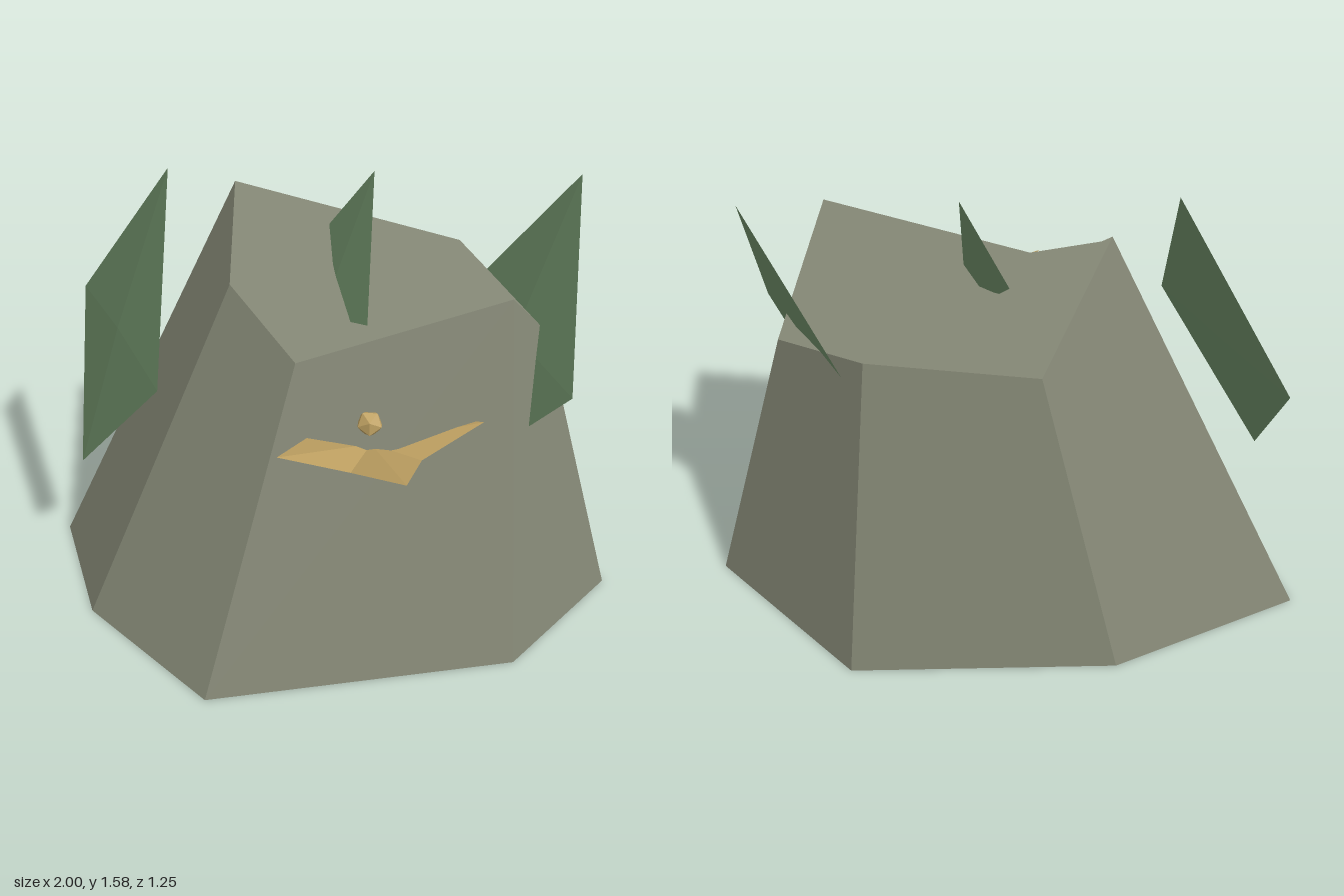
import * as THREE from 'three';

const V = (x, y, z) => new THREE.Vector3(x, y, z);

// Geometry from flat-shaded polygons; each polygon is fanned from its first corner and has one normal
function facets(polygons) {
  const position = [], normal = [];
  for (const p of polygons) {
    const n = V(0, 0, 0);
    for (let i = 1; i < p.length - 1; i++) {
      n.add(p[i].clone().sub(p[0]).cross(p[i + 1].clone().sub(p[0])));
    }
    n.normalize();
    for (let i = 1; i < p.length - 1; i++) {
      for (const v of [p[0], p[i], p[i + 1]]) {
        position.push(v.x, v.y, v.z);
        normal.push(n.x, n.y, n.z);
      }
    }
  }
  const g = new THREE.BufferGeometry();
  g.setAttribute('position', new THREE.Float32BufferAttribute(position, 3));
  g.setAttribute('normal', new THREE.Float32BufferAttribute(normal, 3));
  return g;
}

function material(name, color, side = THREE.FrontSide) {
  const m = new THREE.MeshStandardMaterial({ color, side });
  m.name = name;
  return m;
}

function part(name, geometry, mat) {
  const mesh = new THREE.Mesh(geometry, mat);
  mesh.name = name;
  return mesh;
}

// Seven-sided boulder with a skewed, uneven top
function rockGeometry() {
  const bottom = [
    V(1, 0, -0.08), V(0.65, 0, 0.365), V(-0.4, 0, 0.585), V(-0.845, 0, 0.145),
    V(-1, 0, -0.33), V(-0.36, 0, -0.625), V(0.53, 0, -0.617),
  ];
  const top = [
    V(0.73, 1.03, -0.145), V(0.58, 1.355, 0.185), V(-0.1, 1.12, 0.21), V(-0.32, 1.285, 0.005),
    V(-0.32, 1.495, -0.31), V(-0.1, 1.145, -0.55), V(0.44, 1.18, -0.5),
  ];
  const sides = bottom.map((b, i) => {
    const j = (i + 1) % bottom.length;
    return [top[i], top[j], bottom[j], b];
  });
  return facets([...sides, [...top].reverse(), bottom]);
}

// Thin diamond leaf, slightly thicker in the middle
function leafGeometry() {
  const rim = [V(-0.53, 1.58, -0.23), V(-0.55, 0.99, 0.19), V(-0.87, 0.51, -0.07), V(-0.88, 0.99, -0.465)];
  const centre = rim.reduce((sum, p) => sum.add(p), V(0, 0, 0)).multiplyScalar(0.25);
  const offset = V(0.84, -0.33, -0.43).multiplyScalar(0.015);
  const front = centre.clone().add(offset), back = centre.clone().sub(offset);
  return facets(rim.flatMap((p, i) => {
    const q = rim[(i + 1) % 4];
    return [[front, p, q], [back, q, p]];
  }));
}

// Five creased petals rising from the centre to the tips
function petalGeometry() {
  const centre = V(0, 0, 0);
  const at = (angle, radius, y) => V(Math.cos(angle) * radius, y, Math.sin(angle) * radius);
  const faces = [];
  for (let i = 0; i < 5; i++) {
    const a = i * Math.PI * 0.4, half = Math.PI * 0.2;
    const tip = at(a, 0.36, 0.095);
    faces.push([centre, tip, at(a - half, 0.2, 0.025)], [centre, at(a + half, 0.2, 0.025), tip]);
  }
  return facets(faces);
}

export function createModel() {
  const stone = material('stone', 0x868977);
  const green = material('leaf green', 0x6c8b66);
  const gold = material('petal gold', 0xbfa162, THREE.DoubleSide);

  const model = new THREE.Group();
  model.name = 'rockWithPlants';
  model.add(part('rock', rockGeometry(), stone));

  // Row of three identical leaves
  const leaf = leafGeometry();
  ['rightLeaf', 'middleLeaf', 'leftLeaf'].forEach((name, i) => {
    const mesh = part(name, leaf, green);
    mesh.position.x = 0.67 * i;
    model.add(mesh);
  });

  // Flower on the front face
  const flower = new THREE.Group();
  flower.name = 'flower';
  flower.position.set(0.145, 0.86, 0.28);
  flower.add(part('petals', petalGeometry(), gold));
  const bud = part('flowerCentre', new THREE.IcosahedronGeometry(0.045, 0), gold);
  bud.position.set(-0.005, 0.09, 0.01);
  flower.add(bud);
  model.add(flower);

  return model;
}
